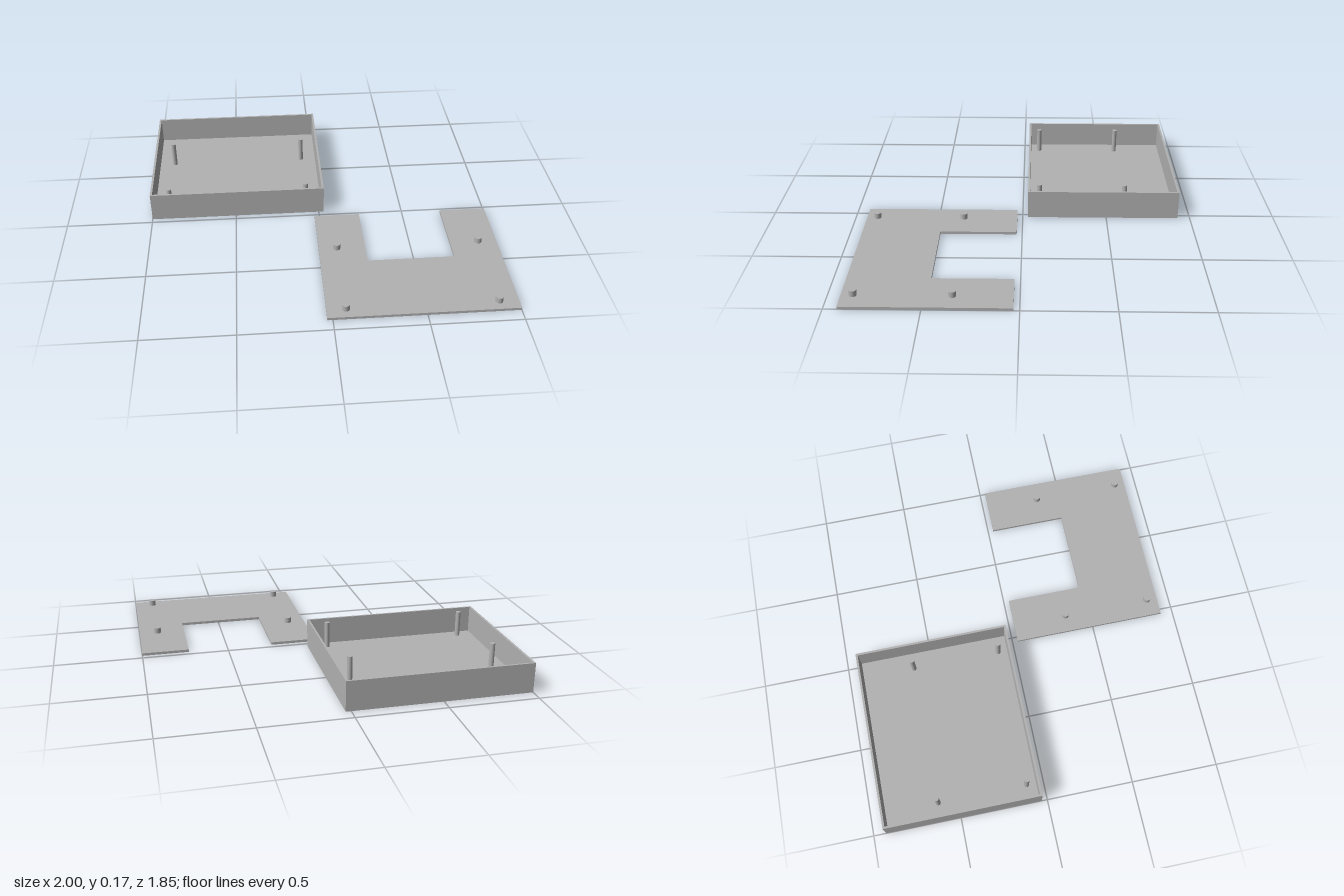
import * as THREE from 'three';

export function createModel() {
  const model = new THREE.Group();
  model.name = 'enclosure';
  const grey = new THREE.MeshStandardMaterial({ color: 0xb2b2b2 });
  grey.name = 'grey plastic';

  const add = (parent, name, geometry, x = 0, y = 0, z = 0) => {
    const mesh = new THREE.Mesh(geometry, grey);
    mesh.name = name;
    mesh.position.set(x, y, z);
    parent.add(mesh);
  };
  const part = (name) => {
    const group = new THREE.Group();
    group.name = name;
    model.add(group);
    return group;
  };
  // Outline in (x, z), extruded upwards from y = 0
  const slab = (shape, height) =>
    new THREE.ExtrudeGeometry(shape, { depth: height, bevelEnabled: false })
      .rotateX(Math.PI / 2).translate(0, height, 0);
  const outline = (points) => points.map(([x, z]) => new THREE.Vector2(x, z));
  const rect = (x0, x1, z0, z1) => outline([[x0, z0], [x1, z0], [x1, z1], [x0, z1]]);
  // Four round posts standing on a floor
  const posts = (parent, name, radius, y0, y1, xs, zs) => {
    const geometry = new THREE.CylinderGeometry(radius, radius, y1 - y0, 24);
    for (const x of xs) for (const z of zs) add(parent, name, geometry, x, (y0 + y1) / 2, z);
  };

  const floor = 0.015, wall = 0.012, height = 0.17;
  const x0 = -1, x1 = 0.03, z0 = -0.927, z1 = -0.032;

  // Open tray: floor, wall ring and tall pins
  const tray = part('tray');
  add(tray, 'trayFloor', slab(new THREE.Shape(rect(x0, x1, z0, z1)), floor));
  const ring = new THREE.Shape(rect(x0, x1, z0, z1));
  ring.holes.push(new THREE.Path(rect(x0 + wall, x1 - wall, z0 + wall, z1 - wall)));
  add(tray, 'trayWalls', slab(ring, height - floor), 0, floor, 0);
  posts(tray, 'trayPin', 0.0145, floor, 0.167, [-0.894, -0.075], [-0.612, -0.099]);

  // Flat lid with a notch at the back and short standoffs
  const lid = part('lid');
  add(lid, 'lidPlate', slab(new THREE.Shape(outline([
    [-0.03, 0.032], [0.237, 0.032], [0.237, 0.475], [0.73, 0.475],
    [0.73, 0.032], [1, 0.032], [1, 0.927], [-0.03, 0.927],
  ])), floor));
  posts(lid, 'lidStandoff', 0.021, floor, 0.048, [0.073, 0.892], [0.35, 0.864]);

  return model;
}
